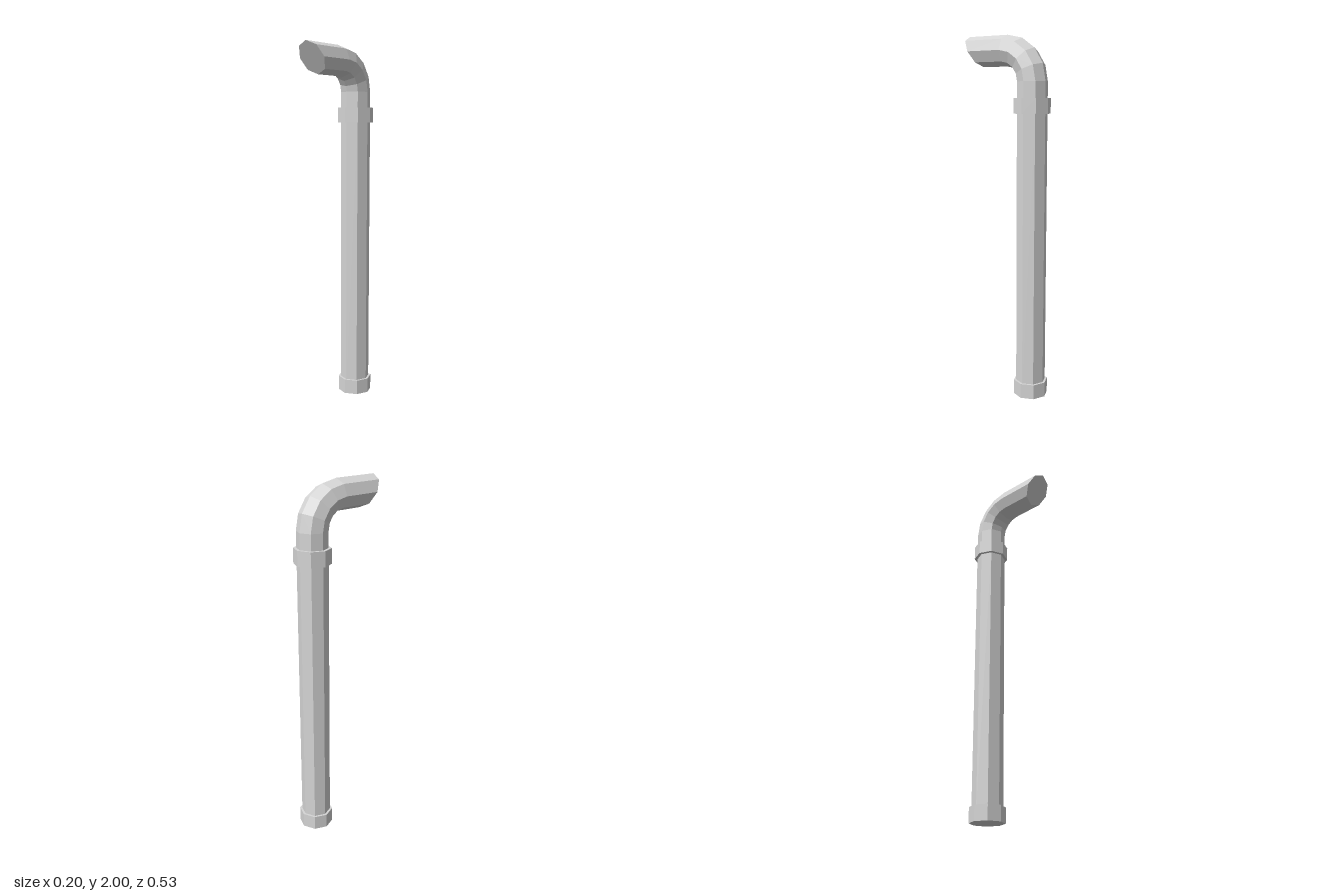
import * as THREE from 'three';

const SIDES = 8, R = 0.083, PIPE_Z = -0.163, BEND = 0.163, BEND_Y = 1.754;

// Octagonal elbow lofted along a quarter bend, ending in a slanted, closed mouth
function elbowGeometry() {
  const rings = [{ a: 0, y: 1.63, z: PIPE_Z, slant: 0 }];
  for (let i = 0; i <= 4; i++) {
    const a = (i / 4) * Math.PI / 2;
    rings.push({ a, y: BEND_Y + BEND * Math.sin(a), z: -BEND * Math.cos(a), slant: 0 });
  }
  rings.push({ a: Math.PI / 2, y: BEND_Y + BEND, z: 0.214, slant: 0.59 });

  const pos = [], index = [];
  for (const { a, y, z, slant } of rings) {
    for (let j = 0; j < SIDES; j++) {
      const t = (j / SIDES) * Math.PI * 2, out = R * Math.sin(t);
      const dy = out * Math.sin(a);
      pos.push(R * Math.cos(t), y + dy, z - out * Math.cos(a) + slant * dy);
    }
  }
  for (let i = 0; i < rings.length - 1; i++) {
    for (let j = 0; j < SIDES; j++) {
      const k = (j + 1) % SIDES, p = i * SIDES, q = p + SIDES;
      index.push(p + j, p + k, q + j, p + k, q + k, q + j);
    }
  }
  // Mouth face
  const last = (rings.length - 1) * SIDES;
  for (let j = 1; j < SIDES - 1; j++) index.push(last, last + j, last + j + 1);

  const g = new THREE.BufferGeometry();
  g.setAttribute('position', new THREE.Float32BufferAttribute(pos, 3));
  g.setIndex(index);
  g.computeVertexNormals();
  return g;
}

export function createModel() {
  const group = new THREE.Group();
  group.name = 'ventPipe';
  const metal = new THREE.MeshStandardMaterial({ color: 0xd5d5d5, flatShading: true });
  metal.name = 'light grey metal';

  const add = (name, geometry) => {
    const mesh = new THREE.Mesh(geometry, metal);
    mesh.name = name;
    group.add(mesh);
  };
  const section = (name, radius, y0, y1) => {
    const g = new THREE.CylinderGeometry(radius, radius, y1 - y0, SIDES);
    add(name, g.translate(0, (y0 + y1) / 2, PIPE_Z));
  };

  section('baseCollar', 0.096, 0, 0.083);
  section('uprightPipe', R, 0.04, 1.63);
  section('upperCollar', 0.1, 1.586, 1.668);
  add('elbow', elbowGeometry());
  return group;
}
